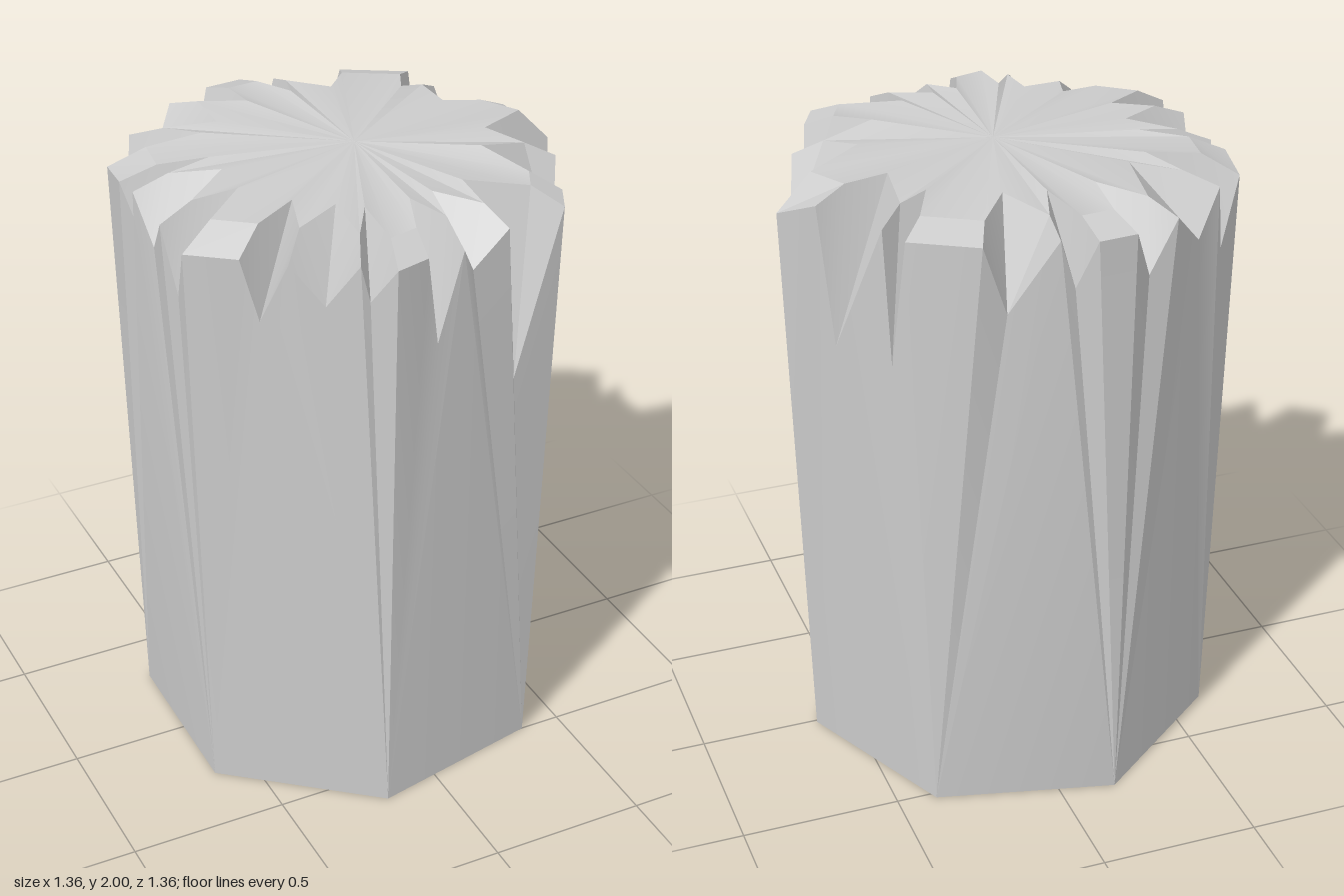
import * as THREE from 'three';
import { toCreasedNormals } from 'three/addons/utils/BufferGeometryUtils.js';

// Broken rim, clockwise from above: x, z, y. Low points are chips in the wall.
const RIM = [
  [.68, -.02, 1.85], [.60, .13, 1.70], [.56, .23, 1.92], [.51, .32, 1.65], [.46, .44, 1.92],
  [.41, .54, 1.92], [.25, .56, 1.40], [.2, .59, 1.92], [.08, .6, 1.82], [.04, .62, 1.9],
  [-.04, .62, 1.62], [-.09, .65, 1.92],
  [-.2, .68, 1.92], [-.25, .61, 1.8], [-.28, .61, 1.92], [-.35, .53, 1.77], [-.44, .48, 1.9],
  [-.5, .41, 1.7], [-.55, .39, 1.9],
  [-.68, .29, 1.9], [-.66, .2, 1.72], [-.68, .13, 1.92], [-.65, 0, 1.78], [-.67, -.1, 1.92],
  [-.65, -.14, 1.8], [-.68, -.18, 1.92],
  [-.66, -.33, 1.9], [-.58, -.39, 1.7], [-.54, -.45, 1.93], [-.47, -.47, 1.78], [-.34, -.61, 1.93],
  [-.25, -.62, 1.77],
  [-.19, -.67, 1.93], [-.07, -.68, 1.93], [-.02, -.63, 1.77], [.03, -.64, 1.93], [.17, -.59, 1.7],
  [.25, -.61, 1.93],
  [.44, -.5, 1.93], [.47, -.45, 1.52], [.47, -.38, 1.92], [.57, -.22, 1.49], [.6, -.16, 1.92],
].map(([x, z, y]) => new THREE.Vector3(x, y, z));

// Rim indices standing above the seven base corners
const CORNERS = [0, 5, 12, 19, 26, 32, 38, RIM.length];

function geometry(triangles, crease) {
  const g = new THREE.BufferGeometry().setFromPoints(triangles.flat());
  return toCreasedNormals(g, crease);
}

export function createModel() {
  const group = new THREE.Group();
  const material = new THREE.MeshStandardMaterial({ color: 0xcccccc });
  const add = (name, triangles, crease) => {
    const mesh = new THREE.Mesh(geometry(triangles, crease), material);
    mesh.name = name;
    group.add(mesh);
  };
  const n = RIM.length;
  const rim = i => RIM[i % n];

  // Seven-sided foot
  const base = Array.from({ length: 7 }, (_, i) => {
    const a = i * Math.PI * 2 / 7 + 0.01;
    return new THREE.Vector3(-0.035 + 0.655 * Math.cos(a), 0, -0.015 + 0.655 * Math.sin(a));
  });
  const foot = new THREE.Vector3(-0.035, 0, -0.015);
  add('base', base.map((p, i) => [foot, p, base[(i + 1) % 7]]), 0.3);

  // Walls: each side fans from its two foot corners up to the broken rim
  const walls = [];
  for (let s = 0; s < 7; s++) {
    const a = base[s], b = base[(s + 1) % 7];
    const start = CORNERS[s], end = CORNERS[s + 1];
    const mid = Math.round((start + end) / 2);
    for (let i = start; i < end; i++) walls.push([i < mid ? a : b, rim(i), rim(i + 1)]);
    walls.push([a, rim(mid), b]);
  }
  add('shaft', walls, 0.4);

  // Inner ends of the chips: deep ones cut further into the top
  const inner = RIM.map(p => {
    const chip = p.y < 1.84;
    const k = chip ? 0.66 : 0.84;
    return new THREE.Vector3(p.x * k, chip ? 1.985 : 1.965, p.z * k);
  });
  inner[3].set(0.31, 2.0, 0.22);
  const chips = [], cap = [];
  const centre = new THREE.Vector3(0, 1.985, 0);
  for (let i = 0; i < n; i++) {
    const j = (i + 1) % n;
    // Split each quad along the chip's own edge
    if (rim(i).y < rim(j).y) {
      chips.push([inner[i], inner[j], rim(i)], [inner[j], rim(j), rim(i)]);
    } else {
      chips.push([inner[i], rim(j), rim(i)], [inner[i], inner[j], rim(j)]);
    }
    cap.push([centre, inner[j], inner[i]]);
  }
  add('chippedEdge', chips, 0.35);
  add('topFace', cap, 0.5);
  return group;
}
